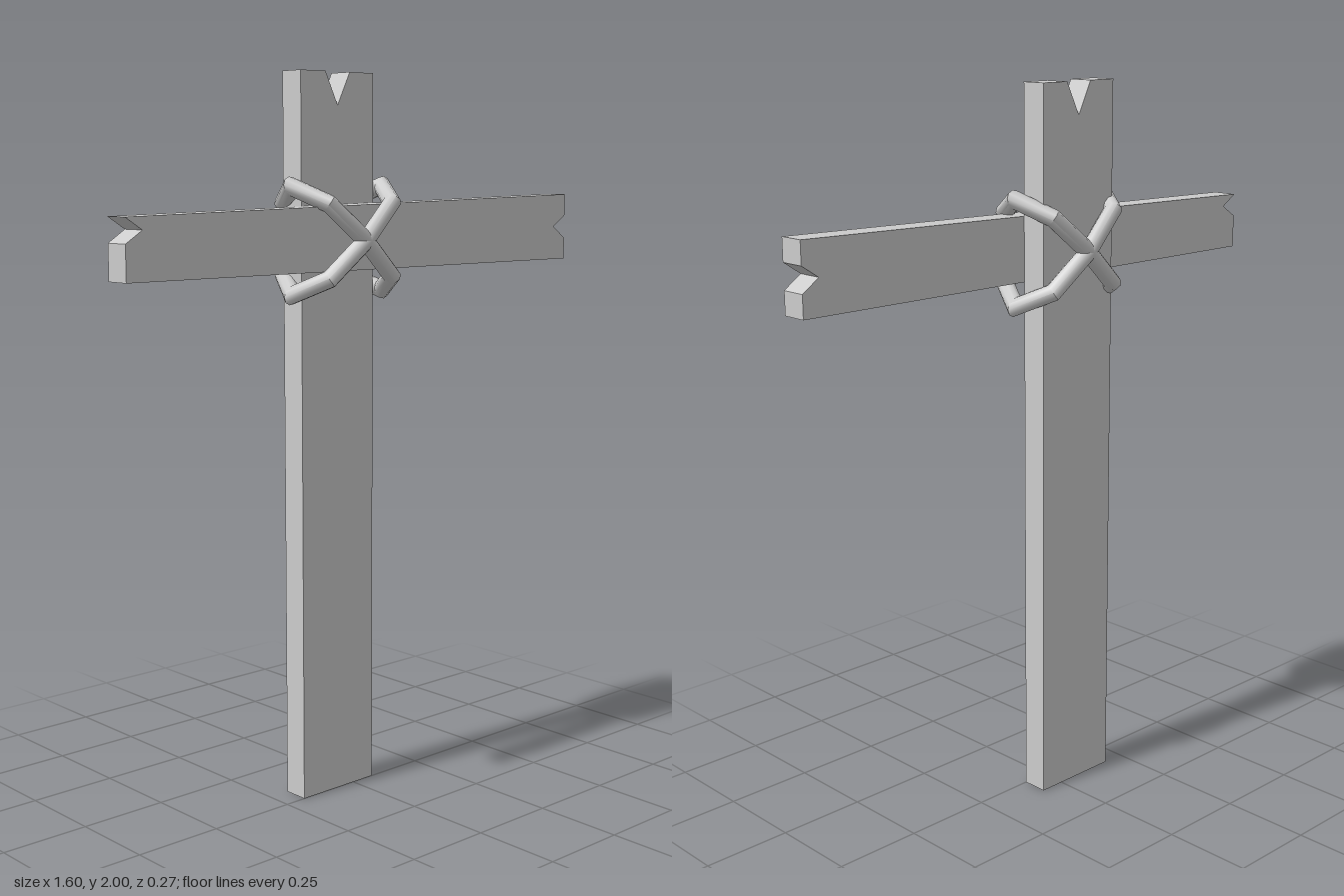
import * as THREE from 'three';
import { toCreasedNormals } from 'three/addons/utils/BufferGeometryUtils.js';

const material = new THREE.MeshStandardMaterial({ color: 0xcccccc });

// Flat board cut from an outline, from z0 with the given thickness
function board(name, points, z0, depth) {
  const shape = new THREE.Shape(points.map(([x, y]) => new THREE.Vector2(x, y)));
  const geometry = new THREE.ExtrudeGeometry(shape, { depth, bevelEnabled: false });
  geometry.translate(0, 0, z0);
  const mesh = new THREE.Mesh(geometry, material);
  mesh.name = name;
  return mesh;
}

// Closed eight-cornered rope loop in the XZ plane with mitred corners
function ropeLoop(radius, sides) {
  const path = [
    [0.217, 0], [0.15, 0.092], [0, 0.111], [-0.15, 0.092],
    [-0.217, 0], [-0.15, -0.092], [0, -0.111], [0.15, -0.092],
  ].map(([x, z]) => new THREE.Vector2(x, z));
  const n = path.length;
  const positions = [];
  const index = [];
  path.forEach((p, i) => {
    const before = p.clone().sub(path[(i + n - 1) % n]).normalize();
    const after = path[(i + 1) % n].clone().sub(p).normalize();
    const tangent = before.clone().add(after).normalize();
    const mitre = radius / tangent.dot(after);
    for (let j = 0; j < sides; j++) {
      const a = (j / sides) * Math.PI * 2;
      const out = Math.cos(a) * mitre;
      positions.push(p.x + tangent.y * out, Math.sin(a) * radius, p.y - tangent.x * out);
      const k = (j + 1) % sides;
      const m = ((i + 1) % n) * sides;
      const c = i * sides;
      index.push(c + j, c + k, m + j, c + k, m + k, m + j);
    }
  });
  const geometry = new THREE.BufferGeometry();
  geometry.setAttribute('position', new THREE.Float32BufferAttribute(positions, 3));
  geometry.setIndex(index);
  return toCreasedNormals(geometry, 0.7);
}

export function createModel() {
  const model = new THREE.Group();
  model.name = 'woodenCross';

  // Upright with a V notch in its top
  model.add(board('post', [
    [-0.187, 0], [0.073, 0], [0.073, 2], [-0.013, 2], [-0.057, 1.912], [-0.1, 2], [-0.187, 2],
  ], -0.073, 0.073));

  // Tapering crossbeam, split at both ends
  model.add(board('crossbeam', [
    [-0.802, 1.476], [0.8, 1.476], [0.8, 1.538], [0.75, 1.573], [0.8, 1.606],
    [0.8, 1.668], [-0.802, 1.633], [-0.752, 1.601], [-0.802, 1.569],
  ], 0, 0.073));

  // Two crossed rope loops lashing the boards
  const ropeGeometry = ropeLoop(0.024, 10);
  for (const side of [-1, 1]) {
    const rope = new THREE.Mesh(ropeGeometry, material);
    rope.name = side < 0 ? 'ropeFalling' : 'ropeRising';
    rope.position.set(-0.057, 1.556, 0);
    rope.rotation.z = side * THREE.MathUtils.degToRad(41);
    model.add(rope);
  }
  return model;
}
